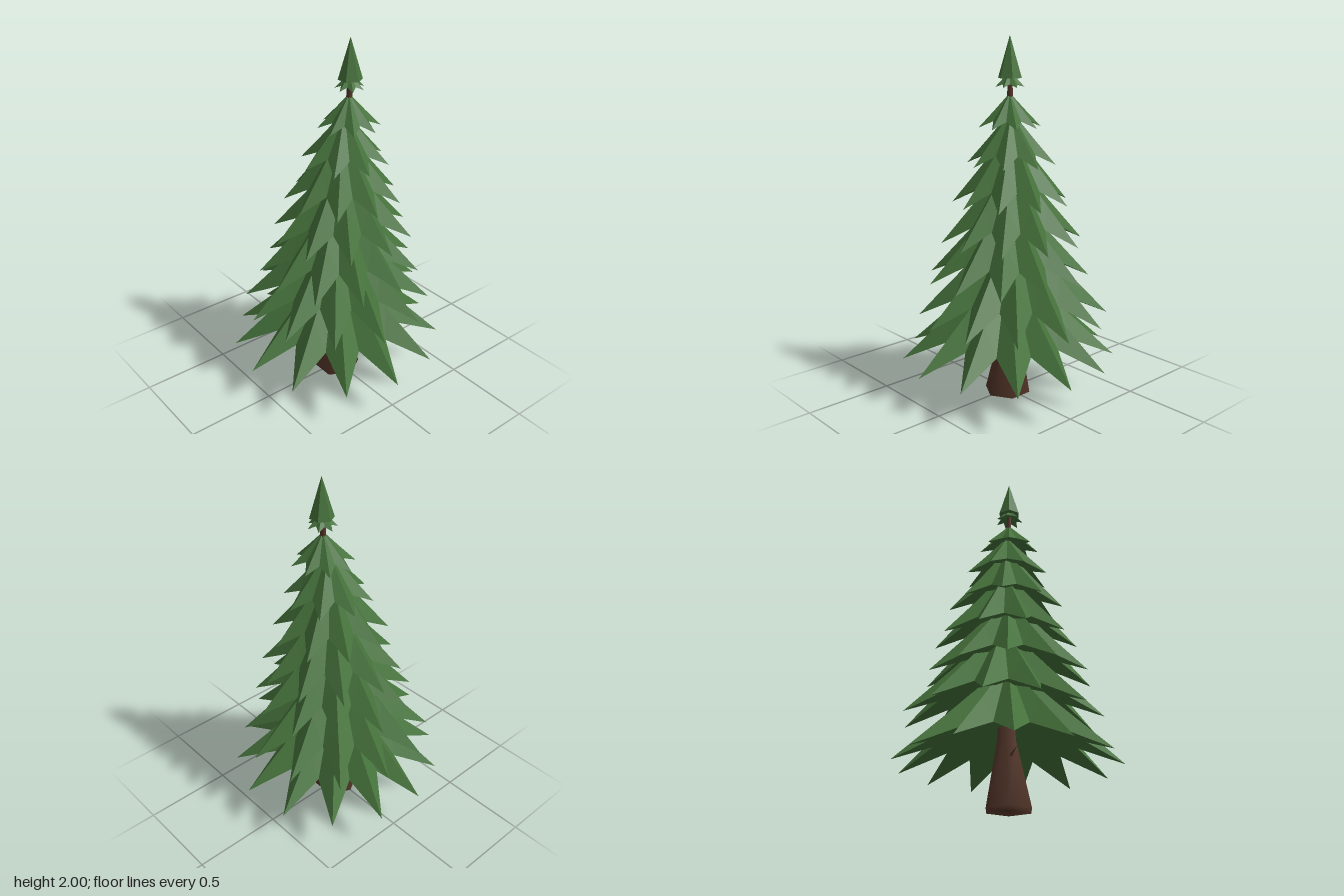
import * as THREE from 'three';
import { mergeVertices } from 'three/addons/utils/BufferGeometryUtils.js';

const needleGreen = new THREE.MeshStandardMaterial({ color: 0x45723b });
needleGreen.name = 'needle green';
const barkBrown = new THREE.MeshStandardMaterial({ color: 0x543629 });
barkBrown.name = 'bark brown';

function makeMesh(name, geometry, material) {
  const mesh = new THREE.Mesh(geometry, material);
  mesh.name = name;
  return mesh;
}

// A drooping star of pointed branches: ridges run from apex to tips, with valleys between.
// sweep turns the branches at the back a little further round.
function branchTier({ name, x, z, tipY, apexY, radius, count, offset, sweep = 0 }) {
  const height = apexY - tipY;
  const apex = [x, apexY, z];
  const hub = [x, tipY + height * 0.38, z];
  const at = (angle, r, y) => {
    const a = angle + sweep * (Math.sin(angle) - 1);
    return [x + Math.cos(a) * r, y, z + Math.sin(a) * r];
  };
  const step = (Math.PI * 2) / count;
  const start = THREE.MathUtils.degToRad(offset);
  const tips = [], valleys = [], ridges = [];
  for (let i = 0; i < count; i++) {
    const angle = start + i * step;
    tips.push(at(angle, radius, tipY));
    ridges.push(at(angle, radius * 0.52, tipY + height * 0.47));
    valleys.push(at(angle + step / 2, radius * 0.62, tipY + height * 0.205));
  }
  const points = [];
  const face = (...corners) => corners.forEach((c) => points.push(...c));
  for (let i = 0; i < count; i++) {
    const tip = tips[i], ridge = ridges[i];
    const after = valleys[i], before = valleys[(i + count - 1) % count];
    face(apex, after, ridge);
    face(ridge, after, tip);
    face(apex, ridge, before);
    face(ridge, tip, before);
    face(hub, tip, after);
    face(hub, before, tip);
  }
  const geometry = new THREE.BufferGeometry();
  geometry.setAttribute('position', new THREE.Float32BufferAttribute(points, 3));
  geometry.computeVertexNormals();
  return makeMesh(name, geometry, needleGreen);
}

// Trunk centre line leans gently towards the top
const leanX = (y) => 0.035 * Math.min(1, Math.pow(y / 1.75, 1.5)) - 0.012 * Math.sin(Math.min(1, y / 1.2) * Math.PI);
const leanZ = (y) => -0.058 * Math.min(1, y / 1.75);

// Six-sided trunk with a flared foot, smooth all over including the base
function trunk() {
  const length = 1.8;
  const cylinder = new THREE.CylinderGeometry(1, 1, length, 6, 5, false, Math.PI / 6);
  cylinder.deleteAttribute('normal');
  cylinder.deleteAttribute('uv');
  const geometry = mergeVertices(cylinder, 0.001);
  const p = geometry.attributes.position;
  for (let i = 0; i < p.count; i++) {
    const y = Math.max(0, p.getY(i) + length / 2);
    const r = 0.013 + 0.046 * (1 - y / length) + 0.073 * Math.max(0, 1 - y / 0.42) ** 1.3;
    p.setXYZ(i, p.getX(i) * r + leanX(y), y, p.getZ(i) * r + leanZ(y));
  }
  geometry.computeVertexNormals();
  return makeMesh('trunk', geometry, barkBrown);
}

export function createModel() {
  const tree = new THREE.Group();
  tree.name = 'fir tree';
  tree.add(trunk());

  // Short dead twig low on the front of the trunk
  const twig = makeMesh('twig', new THREE.ConeGeometry(0.009, 0.08, 5), barkBrown);
  twig.position.set(-0.02, 0.285, 0.085);
  twig.rotation.x = 1.1;
  tree.add(twig);

  // Tiers from bottom to top: centre x, centre z, tip y, apex y, radius, branch count, first angle, sweep
  const tiers = [
    [-0.005, 0, 0.226, 0.8, 0.598, 13, 90, 0.04],
    [-0.025, -0.02, 0.463, 1.03, 0.533, 12, 100],
    [0.005, -0.012, 0.688, 1.2, 0.45, 11, 88],
    [0.0, -0.035, 0.9, 1.37, 0.39, 10, 104],
    [0.005, -0.035, 1.115, 1.52, 0.32, 9, 84],
    [0.012, -0.042, 1.328, 1.61, 0.24, 8, 97],
    [0.033, -0.054, 1.527, 1.705, 0.168, 8, 75],
    [0.035, -0.057, 1.735, 1.82, 0.08, 7, 80],
  ];
  tiers.forEach(([x, z, tipY, apexY, radius, count, offset, sweep], i) => {
    tree.add(branchTier({ name: `branchTier${i + 1}`, x, z, tipY, apexY, radius, count, offset, sweep }));
  });

  // Six-sided pointed crown
  const crownShape = new THREE.ConeGeometry(0.065, 0.218, 6).toNonIndexed();
  crownShape.computeVertexNormals();
  const crown = makeMesh('crown', crownShape, needleGreen);
  crown.position.set(0.036, 1.891, -0.058);
  crown.rotation.y = Math.PI / 6;
  tree.add(crown);

  return tree;
}
